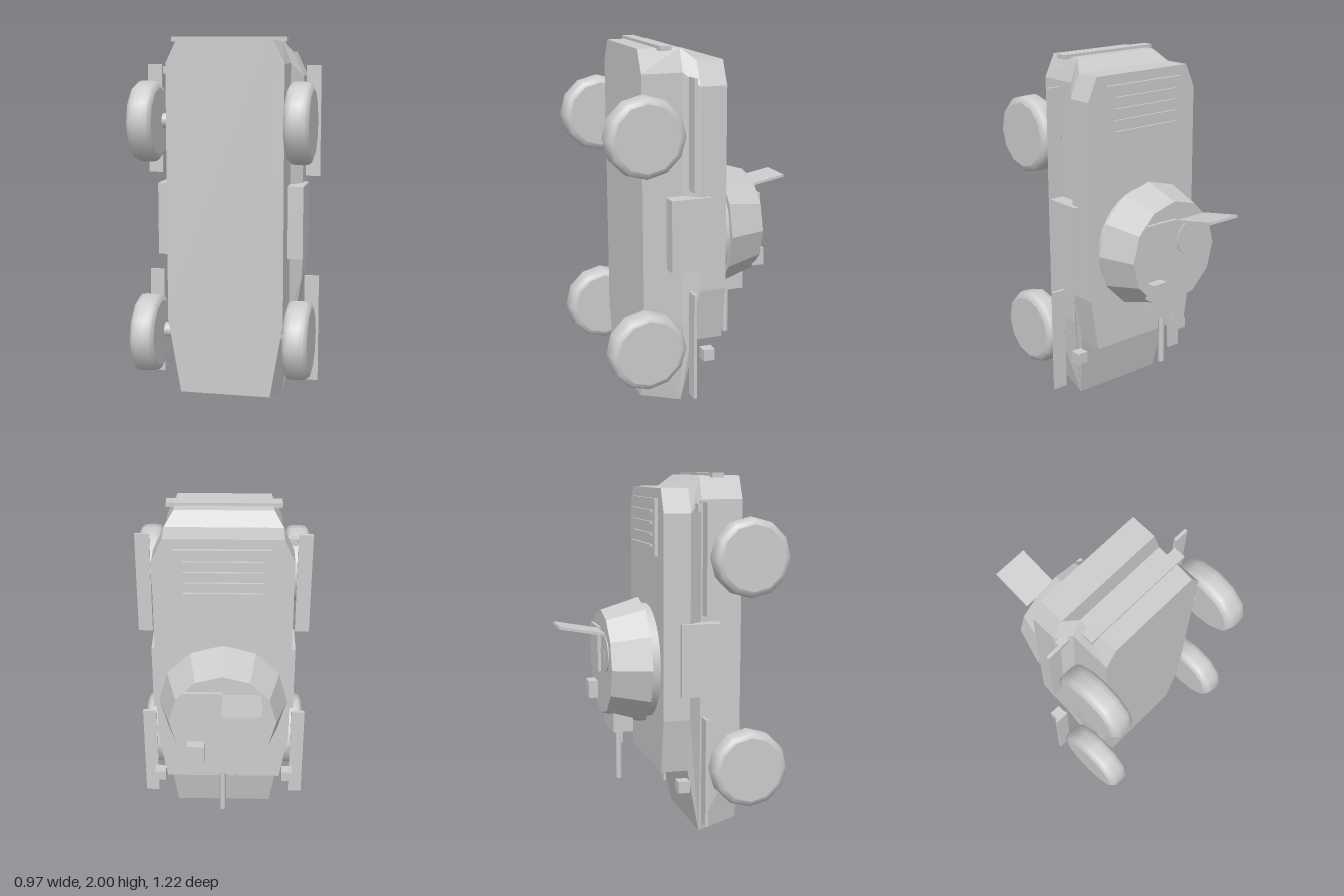
import * as THREE from 'three';
import { ConvexGeometry } from 'three/addons/geometries/ConvexGeometry.js';

const grey = new THREE.MeshStandardMaterial({ color: 0xcccccc });
grey.name = 'lightGrey';
const greyFaceted = grey.clone();
greyFaceted.flatShading = true;

export function createModel() {
  const model = new THREE.Group();
  model.name = 'armouredCar';

  const add = (name, geo, mat = grey) => {
    const mesh = new THREE.Mesh(geo, mat);
    mesh.name = name;
    model.add(mesh);
    return mesh;
  };
  // box given by its limits on each axis
  const box = (name, x0, x1, y0, y1, z0, z1) => {
    const mesh = add(name, new THREE.BoxGeometry(x1 - x0, y1 - y0, z1 - z0));
    mesh.position.set((x0 + x1) / 2, (y0 + y1) / 2, (z0 + z1) / 2);
    return mesh;
  };
  // cylinder whose axis lies along z
  const disc = (name, rFront, rBack, z0, z1, x, y, sides, mat) => {
    const geo = new THREE.CylinderGeometry(rFront, rBack, z1 - z0, sides).rotateX(Math.PI / 2);
    add(name, geo, mat).position.set(x, y, (z0 + z1) / 2);
  };
  // convex slab from mirrored [x, y, z] corners
  const slab = (name, corners) => add(name, new ConvexGeometry(
    corners.flatMap(([x, y, z]) => [new THREE.Vector3(x, y, z), new THREE.Vector3(-x, y, z)])));

  // Hull outlines: belly, chine, shoulder and deck
  const belly = [[0.26, 1.985, 0.375], [0.32, 1.86, 0.375], [0.32, 0.46, 0.375], [0.25, 0.05, 0.375]];
  const chine = [[0.27, 1.985, 0.145], [0.32, 1.86, 0.145], [0.32, 0.46, 0.145], [0.285, 0, 0.15]];
  const shoulder = [[0.32, 1.92, 0.07], [0.38, 1.79, 0.07], [0.38, 0.67, 0.07], [0.33, 0.37, 0.07]];
  const deck = shoulder.map(([x, y]) => [x, y, -0.08]);
  slab('lowerHull', [...belly, ...chine]);
  slab('hullFlare', [...chine, ...shoulder]);
  slab('upperHull', [...shoulder, ...deck]);

  // Wheels: rounded tyre with flat faces
  const tyreProfile = [[0.18, -0.067], [0.2, -0.06], [0.213, -0.045], [0.217, -0.02],
    [0.217, 0.02], [0.213, 0.045], [0.2, 0.06], [0.18, 0.067]].map(p => new THREE.Vector2(...p));
  const tyre = new THREE.LatheGeometry(tyreProfile, 12).rotateZ(Math.PI / 2);
  const hub = new THREE.CylinderGeometry(0.18, 0.18, 0.134, 12).rotateZ(Math.PI / 2);
  for (const s of [-1, 1]) {
    for (const y of [0.39, 1.553]) {
      add('tyre', tyre).position.set(s * 0.413, y, 0.393);
      add('wheelFace', hub).position.set(s * 0.413, y, 0.393);
      const axle = new THREE.CylinderGeometry(0.04, 0.04, 0.1, 12).rotateZ(Math.PI / 2);
      add('axle', axle).position.set(s * 0.32, y, 0.33);
    }
    // Fenders, side lockers and headlamps on each side
    const side = (name, x0, x1, ...rest) => box(name, Math.min(s * x0, s * x1), Math.max(s * x0, s * x1), ...rest);
    side('frontFender', 0.405, 0.485, 0.09, 0.69, 0.128, 0.145);
    side('rearFender', 0.405, 0.485, 1.25, 1.85, 0.128, 0.145);
    side('sideLocker', 0.31, 0.407, 0.8, 1.2, 0.015, 0.24);
    side('headlamp', 0.35, 0.415, 0.27, 0.335, -0.005, 0.06);
  }
  box('rearBracket', -0.4, -0.34, 1.8, 1.84, 0.1, 0.14);
  box('rearBumper', -0.315, 0.315, 1.975, 2, 0.205, 0.27);
  box('driverVisor', -0.13, 0.13, 0.31, 0.38, 0.035, 0.1);

  // Engine cover with louvres
  box('engineCover', -0.26, 0.26, 1.555, 1.865, -0.098, -0.07);
  for (let i = 0; i < 4; i++) {
    const y = 1.61 + i * 0.062;
    box('louvre', -0.215, 0.215, y - 0.007, y + 0.007, -0.111, -0.09);
  }

  // Turret
  disc('turretRing', 0.323, 0.323, -0.13, -0.07, 0, 0.947, 32);
  disc('turret', 0.36, 0.295, -0.345, -0.13, 0, 0.947, 12, greyFaceted);
  disc('hatchOpening', 0.1, 0.1, -0.35, -0.34, -0.12, 1.01, 24);
  box('hatchSeat', -0.14, -0.1, 0.99, 1.03, -0.354, -0.34);
  box('closedHatch', 0, 0.21, 0.89, 1.145, -0.363, -0.34);
  box('sight', 0.1, 0.195, 0.715, 0.815, -0.398, -0.33);

  // Raised hatch lid, hinged above the opening
  const lid = box('openHatch', -0.21, 0, 1.149, 1.164, -0.615, -0.363);
  lid.rotation.x = 0.18;

  // Gun mount, main barrel and small second barrel
  box('gunMount', -0.12, 0.12, 0.56, 0.7, -0.302, -0.19);
  add('mainBarrel', new THREE.CylinderGeometry(0.018, 0.018, 0.34, 16)).position.set(0, 0.43, -0.245);
  add('secondBarrel', new THREE.CylinderGeometry(0.008, 0.008, 0.12, 12)).position.set(-0.08, 0.55, -0.245);

  return model;
}
